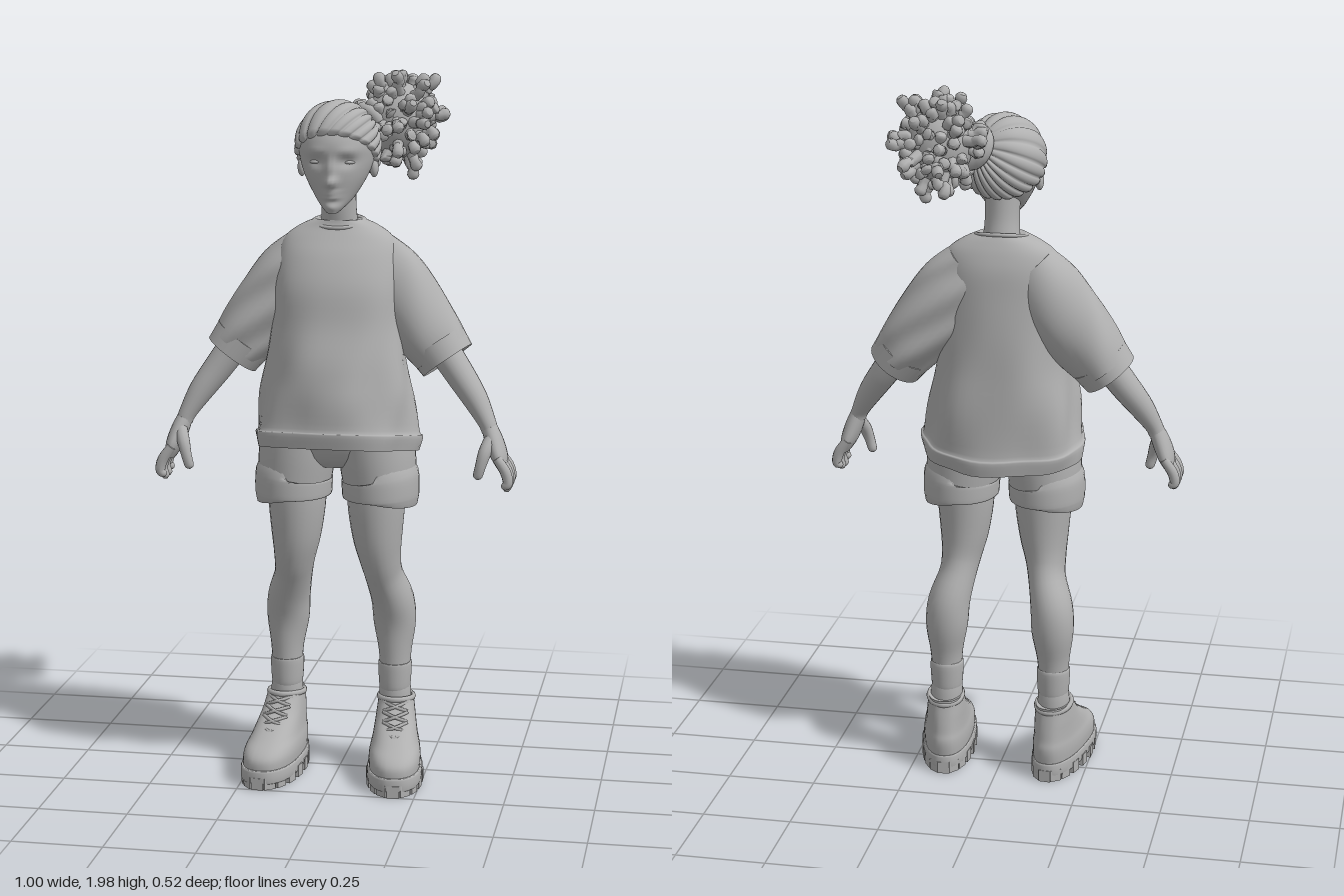
import * as THREE from 'three';
import { mergeGeometries } from 'three/addons/utils/BufferGeometryUtils.js';

const clay = new THREE.MeshStandardMaterial({ color: 0xb0b0b0 });
clay.name = 'clay grey';
const V = (x, y, z) => new THREE.Vector3(x, y, z);
const bell = (x, c, w) => Math.exp(-(((x - c) / w) ** 2));
const clamp01 = x => Math.max(0, Math.min(1, x));

// Skin a list of closed rings; cap0 / cap1 push the end cap centres along the path
function skin(rings, cap0, cap1) {
  const n = rings[0].length, pos = [], idx = [];
  rings.forEach(r => r.forEach(p => pos.push(p.x, p.y, p.z)));
  for (let i = 0; i < rings.length - 1; i++) for (let j = 0; j < n; j++) {
    const k = (j + 1) % n, a = i * n + j, b = i * n + k, c = b + n, d = a + n;
    idx.push(a, b, c, a, c, d);
  }
  [cap0, cap1].forEach((cap, end) => {
    if (!cap) return;
    const ring = rings[end ? rings.length - 1 : 0], base = pos.length / 3;
    const mid = ring.reduce((s, p) => s.add(p), V(0, 0, 0)).divideScalar(n).add(cap);
    ring.forEach(p => pos.push(p.x, p.y, p.z));
    pos.push(mid.x, mid.y, mid.z);
    for (let j = 0; j < n; j++) {
      const a = base + j, b = base + (j + 1) % n;
      end ? idx.push(a, b, base + n) : idx.push(b, a, base + n);
    }
  });
  const g = new THREE.BufferGeometry();
  g.setAttribute('position', new THREE.Float32BufferAttribute(pos, 3));
  g.setIndex(idx);
  g.computeVertexNormals();
  return g;
}

// Smooth loft through [x, y, z, side radius, front radius] sections
function loft(secs, { n = 20, sub = 4, e = 2, upright = false, in0 = 0, in1 = 0, warp } = {}) {
  const fine = [], at = i => secs[Math.max(0, Math.min(secs.length - 1, i))];
  const last = (secs.length - 1) * sub;
  for (let s = 0; s <= last; s++) {
    const i = Math.min(Math.floor(s / sub), secs.length - 2), t = s / sub - i;
    fine.push(at(i).map((p1, k) => {
      const p0 = at(i - 1)[k], p2 = at(i + 1)[k], p3 = at(i + 2)[k];
      return 0.5 * (2 * p1 + (p2 - p0) * t + (2 * p0 - 5 * p1 + 4 * p2 - p3) * t * t
        + (3 * p1 - p0 - 3 * p2 + p3) * t ** 3);
    }));
  }
  const P = i => V(...fine[Math.max(0, Math.min(last, i))].slice(0, 3));
  const tangent = i => upright ? V(0, 1, 0) : P(i + 1).sub(P(i - 1)).normalize();
  const se = c => Math.sign(c) * Math.abs(c) ** (2 / e);
  const rings = fine.map((f, i) => {
    const t = tangent(i), ref = Math.abs(t.z) > 0.9 ? V(0, 1, 0) : V(0, 0, 1);
    const fwd = ref.addScaledVector(t, -ref.dot(t)).normalize();
    const side = fwd.clone().cross(t);
    return Array.from({ length: n }, (_, j) => {
      const a = j / n * Math.PI * 2;
      const p = P(i).addScaledVector(side, f[3] * se(Math.cos(a))).addScaledVector(fwd, f[4] * se(Math.sin(a)));
      if (warp) warp(p, a);
      return p;
    });
  });
  return skin(rings, tangent(0).multiplyScalar(in0), tangent(last).multiplyScalar(-in1));
}

export function createModel() {
  const model = new THREE.Group();
  model.name = 'figure';
  const add = (name, geo, parent = model) => {
    const m = new THREE.Mesh(geo, clay);
    m.name = name;
    parent.add(m);
    return m;
  };
  const ball = (x, y, z, rx, ry, rz) => new THREE.SphereGeometry(1, 20, 14).scale(rx, ry, rz).translate(x, y, z);

  // Head with sculpted face
  add('head', loft([[0, 1.607, .12, .015, .018], [0, 1.625, .1, .034, .04], [0, 1.65, .075, .055, .065],
    [0, 1.7, .055, .084, .092], [0, 1.75, .04, .102, .108], [0, 1.8, .035, .106, .112],
    [0, 1.85, .03, .085, .09], [0, 1.88, .03, .045, .05]], {
    n: 56, sub: 7, upright: true, in0: .002, warp: p => {
      if (p.z < .07) return;
      const x = Math.abs(p.x), y = p.y;
      p.z += .024 * bell(x, 0, .015) * bell(y, 1.69, .014) + .012 * bell(x, 0, .012) * bell(y, 1.725, .028)
        - .012 * bell(x, .042, .022) * bell(y, 1.745, .014) + .005 * bell(x, .045, .03) * bell(y, 1.775, .012)
        + .009 * bell(x, 0, .022) * (bell(y, 1.662, .006) + bell(y, 1.649, .006)) + .006 * bell(x, 0, .02) * bell(y, 1.622, .01);
    }
  }));
  add('neck', loft([[0, 1.5, -.005, .065, .055], [0, 1.56, .005, .053, .052], [0, 1.62, .017, .048, .052], [0, 1.7, .025, .05, .055]]));

  // Swept-back hair: ridged locks gathered at the tie
  const pole = V(0, .8, -.6), tie = V(.5, .4, -.77).normalize(), back = V(0, .6, .8), rimAngle = Math.acos(-.32);
  const locks = 22, cols = locks * 8, hair = [];
  for (let i = 24; i >= 0; i--) {
    const t = i / 24;
    hair.push(Array.from({ length: cols }, (_, j) => {
      const v = j / cols * Math.PI * 2;
      const rim = pole.clone().multiplyScalar(Math.cos(rimAngle))
        .addScaledVector(V(1, 0, 0), Math.sin(rimAngle) * Math.cos(v)).addScaledVector(back, -Math.sin(rimAngle) * Math.sin(v));
      const ang = tie.angleTo(rim), ridge = Math.abs(Math.sin(v * locks / 2));
      const d = tie.clone().multiplyScalar(Math.sin((1 - t) * ang)).addScaledVector(rim, Math.sin(t * ang)).divideScalar(Math.sin(ang));
      const r = (.99 + .07 * Math.sqrt(ridge) * Math.min(1, t * 3)) * (i === 24 ? .9 : 1);
      return V(d.x * .113 * r, 1.78 + d.y * .119 * r, .032 + d.z * .119 * r);
    }));
  }
  add('hair', skin(hair));
  const band = add('hairTie', new THREE.TorusGeometry(.05, .018, 10, 28));
  band.position.set(.065, 1.83, -.065);
  band.lookAt(band.position.clone().add(tie));

  // Curly ponytail: core ball with chunky bent curls
  let seed = 11;
  const rand = () => (seed = (seed * 16807) % 2147483647) / 2147483647;
  const puff = V(.146, 1.842, -.11), curls = [];
  const count = 115;
  for (let i = 0; i < count; i++) {
    const y = 1 - 2 * (i + .5) / count, a = i * 2.39996, q = Math.sqrt(1 - y * y);
    const d = V(q * Math.cos(a), y, q * Math.sin(a));
    const bend = V(rand() - .5, rand() - .5, rand() - .5).multiplyScalar(.075);
    const len = .096 + rand() * .036;
    const point = (k, b, r) => {
      const p = d.clone().multiplyScalar(len * k).addScaledVector(bend, b);
      return [puff.x + p.x * .95, puff.y + p.y * 1.1, puff.z + p.z * .98, r, r];
    };
    curls.push(loft([point(.6, 0, .017), point(.8, .5, .015), point(.94, .3, .014), point(1.02, .6, .017), point(1.07, .75, .01)],
      { n: 8, sub: 2, in1: -.003 }));
  }
  add('ponytailCore', ball(puff.x, puff.y, puff.z, .09, .105, .092));
  add('ponytailCurls', mergeGeometries(curls));

  // Oversized shirt with diagonal folds and a hem that dips at the back
  const drape = (p, a) => {
    const low = clamp01((1.45 - p.y) / .4);
    const f = 1 + low * (.025 * Math.sin(5 * a + p.y * 11) + .022 * Math.sin(8 * a - p.y * 17));
    p.x *= f;
    p.z = .05 + (p.z - .05) * f;
    p.y += .16 * (p.z - .05) * clamp01((1.15 - p.y) / .15);
  };
  add('shirtBody', loft([[0, .945, .05, .225, .175], [0, .985, .05, .232, .18], [0, 1.0, .05, .222, .172], [0, 1.1, .048, .21, .168],
    [0, 1.2, .045, .192, .156], [0, 1.3, .035, .183, .138], [0, 1.4, .03, .178, .125], [0, 1.48, .017, .168, .105],
    [0, 1.53, .008, .15, .082], [0, 1.562, .005, .108, .064], [0, 1.58, .008, .066, .056]],
  { n: 56, e: 2.2, upright: true, in0: .06, in1: .01, warp: drape }));
  add('collar', new THREE.TorusGeometry(1, .11, 8, 36).rotateX(Math.PI / 2).scale(.07, .05, .06).rotateX(.2).translate(0, 1.572, .012));

  // Shorts seat
  add('shortsSeat', loft([[0, .9, .045, .1, .07], [0, .93, .045, .185, .1], [0, 1.0, .045, .2, .125], [0, 1.08, .045, .185, .125]],
    { n: 32, upright: true, in0: .002 }));

  for (const s of [1, -1]) {
    const L = (secs, o) => loft(secs.map(([x, ...r]) => [x * s, ...r]), o);
    const side = new THREE.Group();
    side.name = s > 0 ? 'leftSide' : 'rightSide';
    model.add(side);
    const put = (name, geo) => add(name, geo, side);

    put('ear', ball(s * .1, 1.722, .032, .012, .026, .017));
    put('eyelid', ball(s * .043, 1.744, .115, .02, .007, .0165));

    // Sleeve and turned cuff
    put('sleeve', L([[.075, 1.475, 0, .092, .072], [.13, 1.415, 0, .107, .085], [.19, 1.34, 0, .104, .092],
      [.25, 1.265, .003, .093, .094], [.288, 1.215, .008, .082, .088]], {
      n: 32, in0: .001, warp: (p, a) => { p.z += .006 * Math.sin(4 * a + p.y * 30); }
    }));
    put('sleeveCuff', L([[.272, 1.237, .006, .086, .092], [.304, 1.193, .012, .08, .088]], { n: 32, in0: .002, in1: .05 }));

    // Arm and hand
    put('arm', L([[.26, 1.27, .01, .046, .05], [.335, 1.165, .028, .041, .047], [.385, 1.095, .048, .035, .04],
      [.42, 1.035, .066, .025, .03], [.43, 1.01, .07, .023, .028]]));
    put('palm', L([[.428, 1.02, .07, .022, .028], [.442, .985, .074, .025, .042], [.457, .945, .078, .023, .055], [.469, .912, .08, .014, .05]], { in1: -.008 }));
    const fingers = [0, 1, 2, 3].map(i => {
      const z = .08 + (i - 1.5) * .03, tip = .846 + Math.abs(i - 1.6) * .011;
      return L([[.455, .945, z, .013, .015], [.479, .91, z * 1.02, .015, .015], [.487, .88, z * 1.03, .014, .014],
        [.479, tip + .006, z * 1.03, .012, .012], [.476, tip, z * 1.03, .007, .007]], { n: 10, in1: -.003 });
    });
    put('fingers', mergeGeometries(fingers));
    put('thumb', L([[.436, .995, .09, .018, .018], [.422, .96, .118, .018, .018], [.412, .925, .128, .015, .015],
      [.404, .895, .128, .013, .013], [.402, .887, .128, .007, .007]], { n: 12, in1: -.003 }));

    // Shorts leg with rolled cuff
    put('shortsLeg', L([[.103, 1.03, .045, .103, .125], [.113, .93, .045, .107, .125], [.121, .85, .045, .102, .12]], { n: 32 }));
    put('shortsCuff', L([[.12, .872, .046, .104, .122], [.122, .865, .046, .108, .127], [.1235, .817, .046, .107, .127], [.1235, .81, .046, .103, .122]],
      { n: 32, in0: .002, in1: .035 }));

    // Leg, sock and sock cuff
    put('leg', L([[.113, .9, .05, .08, .095], [.112, .8, .052, .081, .092], [.115, .7, .049, .07, .084], [.122, .63, .038, .058, .075],
      [.13, .575, .018, .053, .069], [.149, .5, -.014, .06, .07], [.154, .43, -.025, .06, .062], [.156, .35, -.02, .047, .051], [.156, .28, -.017, .042, .047]], { n: 24 }));
    put('sock', L([[.156, .26, -.017, .042, .046], [.157, .22, -.018, .046, .05], [.158, .15, -.02, .044, .05]]));
    put('sockCuff', L([[.156, .318, -.018, .043, .047], [.156, .309, -.018, .048, .052], [.156, .25, -.017, .045, .05], [.156, .235, -.017, .041, .046]], { in0: .002 }));

    // Boot, turned slightly outward
    const boot = new THREE.Group();
    boot.name = 'boot';
    boot.position.x = s * .162;
    boot.rotation.y = s * .12;
    side.add(boot);
    const narrow = p => { p.x *= .9 + .7 * Math.max(-.12, Math.min(.2, p.z)); };
    add('bootUpper', loft([[0, .045, .067, .074, .176], [0, .075, .064, .076, .177], [0, .097, .054, .074, .167], [0, .118, .036, .069, .144],
      [0, .145, .014, .065, .118], [0, .17, -.006, .062, .094], [0, .2, -.02, .058, .075], [0, .216, -.025, .055, .07]],
    { n: 36, e: 2.4, upright: true, in1: .02, warp: narrow }), boot);
    add('bootCollar', new THREE.TorusGeometry(1, .14, 8, 28).rotateX(Math.PI / 2).scale(.049, .06, .066).rotateX(-.1).translate(0, .21, -.024), boot);
    add('bootSole', loft([[0, .016, .069, .075, .18], [0, .02, .069, .08, .184], [0, .048, .069, .08, .184], [0, .053, .069, .076, .18]],
      { n: 40, sub: 2, e: 2.4, upright: true, in0: .001, in1: .001, warp: narrow }), boot);
    const lugs = [];
    for (let i = 0; i < 18; i++) {
      const a = (i + .5) / 18 * Math.PI * 2, p = V(.068 * Math.cos(a), 0, .069 + .17 * Math.sin(a));
      narrow(p);
      lugs.push(new THREE.BoxGeometry(.034, .034, .03).rotateY(Math.atan2(Math.cos(a) / .07, Math.sin(a) / .18)).translate(p.x, .017, p.z));
    }
    for (let i = 0; i < 5; i++) lugs.push(new THREE.BoxGeometry(.07, .03, .03).translate(0, .016, -.05 + i * .06));
    add('soleLugs', mergeGeometries(lugs), boot);

    // Criss-cross laces up the tongue
    const laces = [];
    for (let i = 0; i < 4; i++) for (const d of [1, -1]) {
      const y = .122 + i * .022, z = .148 - i * .027;
      const curve = new THREE.CatmullRomCurve3([V(-.034 * d, y, z - .012), V(0, y + .014, z - .006), V(.034 * d, y + .02, z - .036)]);
      laces.push(new THREE.TubeGeometry(curve, 8, .005, 6));
    }
    add('laces', mergeGeometries(laces), boot);
  }
  return model;
}
